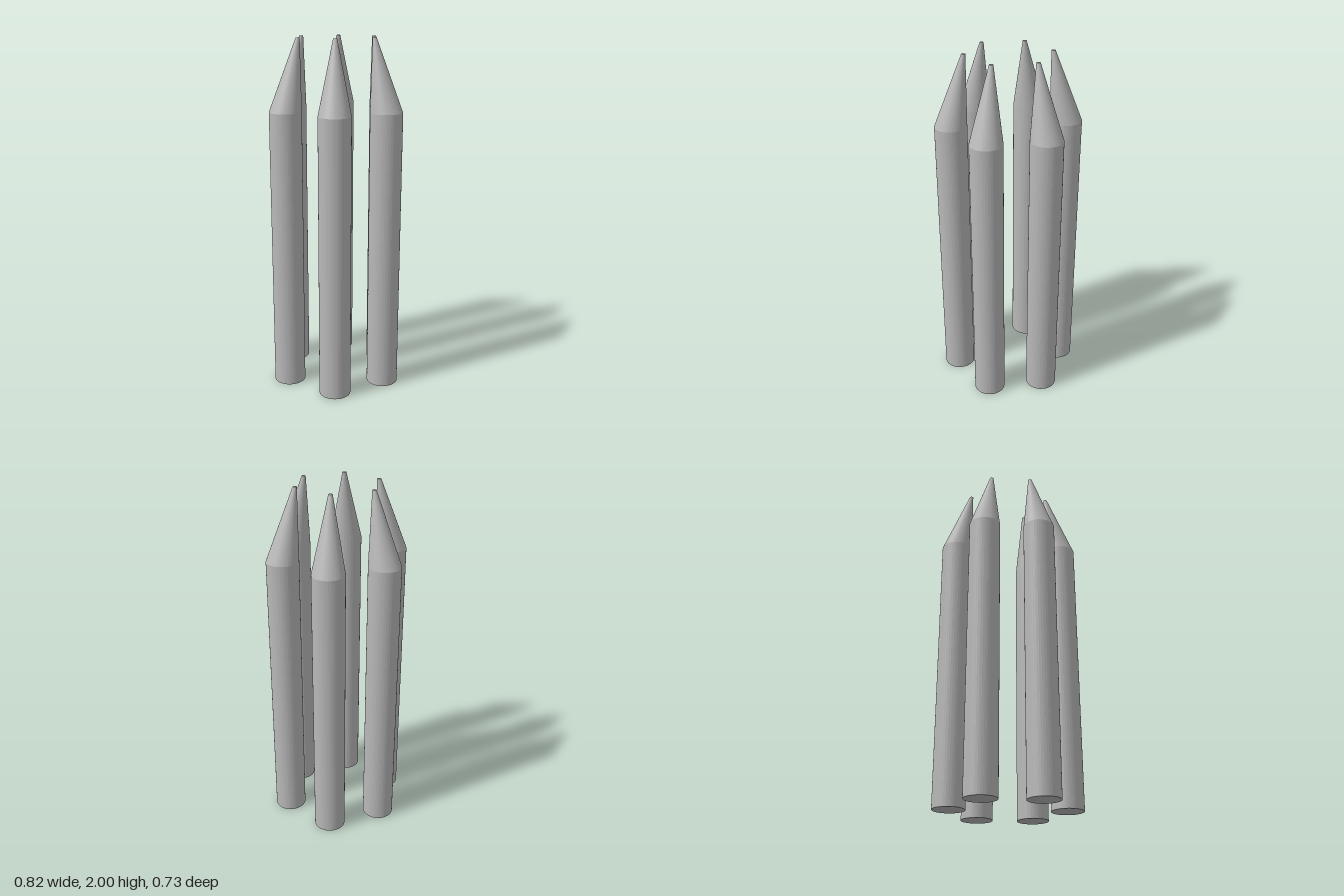
import * as THREE from 'three';

const COUNT = 6, RING = 0.318, RADIUS = 0.09, TIP_RADIUS = 0.011;
const SHOULDER = 1.605, HEIGHT = 2, LEAN = 0.08, SIDES = 40;

const lathe = (points) =>
  new THREE.LatheGeometry(points.map(([r, y]) => new THREE.Vector2(r, y)), SIDES);

export function createModel() {
  const model = new THREE.Group();
  model.name = 'columnRing';
  const grey = new THREE.MeshStandardMaterial({ color: 0xb8b8b8 });
  grey.name = 'grey';
  grey.flatShading = true;

  // Straight round shaft with a closed foot
  const shaftGeometry = lathe([[0, 0], [RADIUS, 0], [RADIUS, SHOULDER]]);

  // Oblique blunt cone: the tip is shifted inward towards the ring's axis
  const tipGeometry = lathe([[RADIUS, SHOULDER], [TIP_RADIUS, HEIGHT], [0, HEIGHT]]);
  const p = tipGeometry.attributes.position;
  for (let i = 0; i < p.count; i++) {
    p.setX(i, p.getX(i) - LEAN * (p.getY(i) - SHOULDER) / (HEIGHT - SHOULDER));
  }
  tipGeometry.computeVertexNormals();

  // Six columns evenly spaced, each leaning its tip to the centre
  for (let i = 0; i < COUNT; i++) {
    const column = new THREE.Group();
    column.name = `column${i + 1}`;
    const shaft = new THREE.Mesh(shaftGeometry, grey);
    shaft.name = 'shaft';
    const tip = new THREE.Mesh(tipGeometry, grey);
    tip.name = 'slantedTip';
    column.add(shaft, tip);
    const angle = (i / COUNT) * Math.PI * 2;
    column.position.set(RING * Math.cos(angle), 0, -RING * Math.sin(angle));
    column.rotation.y = angle;
    model.add(column);
  }
  return model;
}
